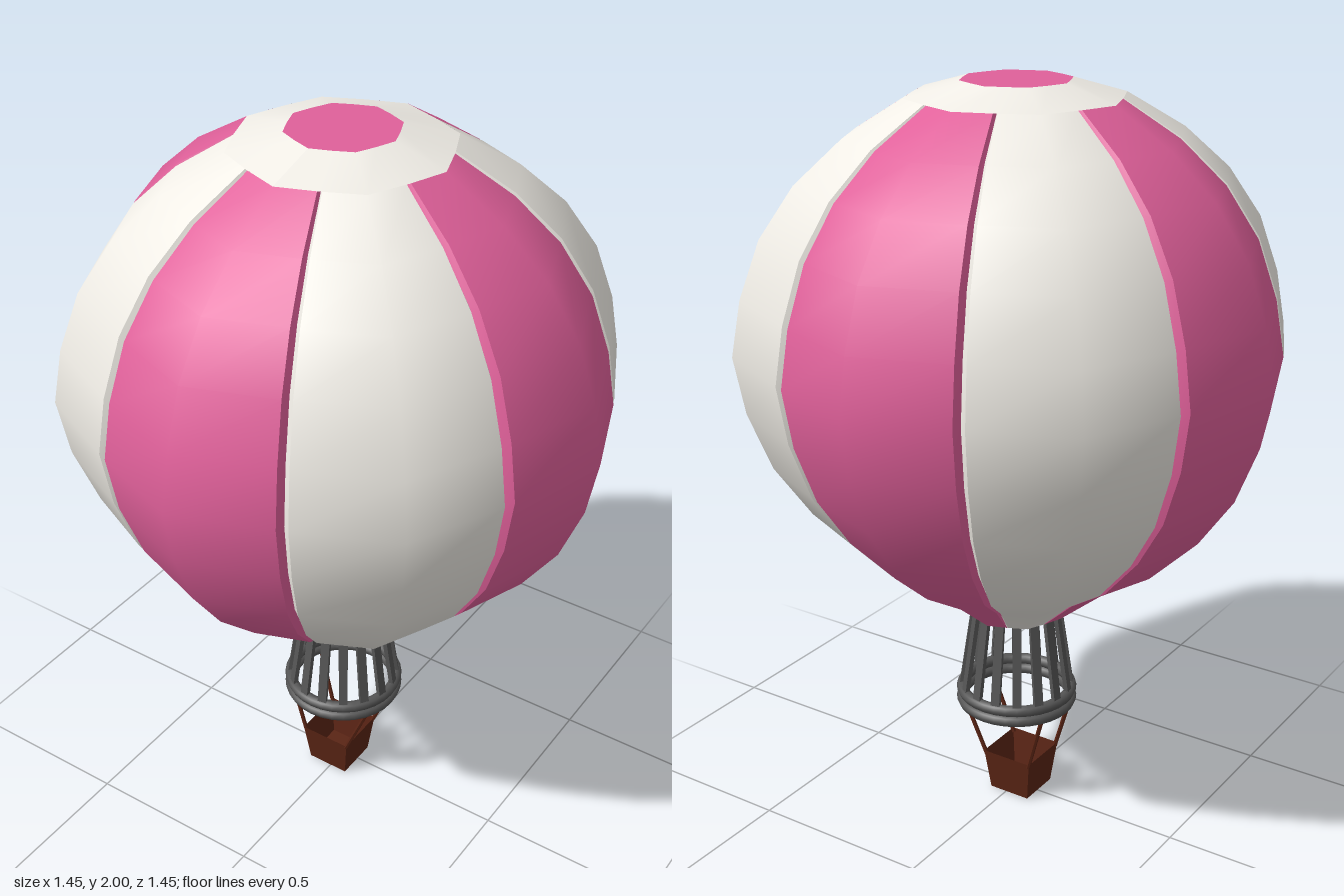
import * as THREE from 'three';

const paint = (color, flatShading = false) =>
  new THREE.MeshStandardMaterial({ color, flatShading, side: THREE.DoubleSide });

// Envelope outline along a gore's centre line: [radius, height]
const OUTLINE = [
  [0.143, 0.567], [0.265, 0.667], [0.41, 0.757], [0.545, 0.89], [0.64, 1.026],
  [0.70, 1.18], [0.727, 1.333], [0.70, 1.48], [0.645, 1.63], [0.555, 1.76],
  [0.434, 1.868], [0.28, 1.96], [0.143, 2.0],
];
const SEAM = Math.PI / 8;          // half the angle of one gore
const EDGE = SEAM - 0.021;         // outer panel edge, leaving a groove at the seam
const EDGE_RADIUS = 0.94;          // gore edges sit lower than the centre line
const DEPTH = 0.022;

const polar = (r, a, y) => [r * Math.sin(a), y, r * Math.cos(a)];

// Smooth surface through rows of points
function sheet(rows) {
  const n = rows[0].length, index = [];
  for (let i = 0; i < rows.length - 1; i++) {
    for (let j = 0; j < n - 1; j++) {
      const a = i * n + j, b = a + 1, d = a + n, c = d + 1;
      index.push(a, b, c, a, c, d);
    }
  }
  const g = new THREE.BufferGeometry();
  g.setAttribute('position', new THREE.Float32BufferAttribute(rows.flat(2), 3));
  g.setIndex(index);
  g.computeVertexNormals();
  return g;
}

function add(parent, name, geometry, material) {
  const mesh = new THREE.Mesh(geometry, material);
  mesh.name = name;
  parent.add(mesh);
  return mesh;
}

// One gore: outer panel, two sloping seam walls and the lining
function makeGore(material) {
  const gore = new THREE.Group();
  const profile = OUTLINE.slice(0, -1);
  const strip = (corners) => sheet(profile.map(([r, y], i) => corners.map(([a, inner]) => {
    const centre = a === 0 ? 1 : EDGE_RADIUS;
    return polar(r * centre - (inner && i > 0 ? DEPTH : 0), a, y);
  })));
  add(gore, 'gorePanel', strip([[-EDGE, 0], [0, 0], [EDGE, 0]]), material);
  add(gore, 'seamWallRight', strip([[-SEAM, 1], [-EDGE, 0]]), material);
  add(gore, 'seamWallLeft', strip([[EDGE, 0], [SEAM, 1]]), material);
  add(gore, 'goreLining', strip([[SEAM, 1], [0, 1], [-SEAM, 1]]), material);
  return gore;
}

// Sixteen-point ring following the ridged outline of the envelope
const ridgedRing = (r, y) => Array.from({ length: 17 }, (_, k) =>
  polar(r * (k % 2 ? EDGE_RADIUS : 1), k * SEAM, y));

// Straight rope between two points
function rope(parent, from, to, material) {
  const path = new THREE.LineCurve3(new THREE.Vector3(...from), new THREE.Vector3(...to));
  add(parent, 'rope', new THREE.TubeGeometry(path, 1, 0.006, 6), material);
}

export function createModel() {
  const model = new THREE.Group();
  model.name = 'hotAirBalloon';
  const pink = paint(0xe0609a), white = paint(0xf0ede6);
  const grey = paint(0x555555), brown = paint(0x5a2414, true);

  // Envelope of eight alternating gores
  const envelope = new THREE.Group();
  envelope.name = 'envelope';
  model.add(envelope);
  for (let i = 0; i < 8; i++) {
    const gore = makeGore(i % 2 ? white : pink);
    gore.name = i % 2 ? 'whiteGore' : 'pinkGore';
    gore.rotation.y = i * 2 * SEAM;
    envelope.add(gore);
  }

  // Crown: white collar around a pink vent
  const [collar, vent] = OUTLINE.slice(-2);
  add(envelope, 'crownCollar', sheet([ridgedRing(...collar), ridgedRing(...vent)]), white);
  add(envelope, 'crownVent', sheet([ridgedRing(...vent), ridgedRing(0, vent[1])]), pink);

  // Flared skirt of slats standing on a double hoop
  const skirt = new THREE.Group();
  skirt.name = 'skirt';
  model.add(skirt);
  const slatGeometry = new THREE.BoxGeometry(0.025, 0.27, 0.012);
  for (let i = 0; i < 16; i++) {
    const spoke = new THREE.Group();
    spoke.name = 'skirtSlat';
    spoke.rotation.y = (i + 0.5) * Math.PI / 8;
    const slat = add(spoke, 'slat', slatGeometry, grey);
    slat.position.set(0, 0.445, 0.136);
    slat.rotation.x = -Math.atan2(0.037, 0.25);
    skirt.add(spoke);
  }
  for (const [y, r] of [[0.322, 0.152], [0.291, 0.152]]) {
    const hoop = add(skirt, 'hoop', new THREE.TorusGeometry(r, 0.016, 8, 32), grey);
    hoop.rotation.x = Math.PI / 2;
    hoop.position.y = y;
  }

  // Tapered open basket
  const basket = new THREE.Group();
  basket.name = 'basket';
  basket.position.set(-0.01, 0, 0.007);
  model.add(basket);
  const top = 0.075, bottom = 0.061, height = 0.12;
  const walls = new THREE.CylinderGeometry(top * Math.SQRT2, bottom * Math.SQRT2, height, 4, 1, true);
  walls.rotateY(Math.PI / 4);
  add(basket, 'basketWalls', walls, brown).position.y = height / 2;
  const floor = add(basket, 'basketFloor', new THREE.BoxGeometry(bottom * 2, 0.006, bottom * 2), brown);
  floor.position.y = 0.003;

  // Four ropes from the hoop to the basket corners
  const ropes = new THREE.Group();
  ropes.name = 'ropes';
  model.add(ropes);
  for (const sx of [-1, 1]) {
    for (const sz of [-1, 1]) {
      rope(ropes, [sx * 0.132, 0.285, sz * 0.075],
        [sx * 0.07 - 0.01, 0.11, sz * 0.07 + 0.007], brown);
    }
  }
  return model;
}
